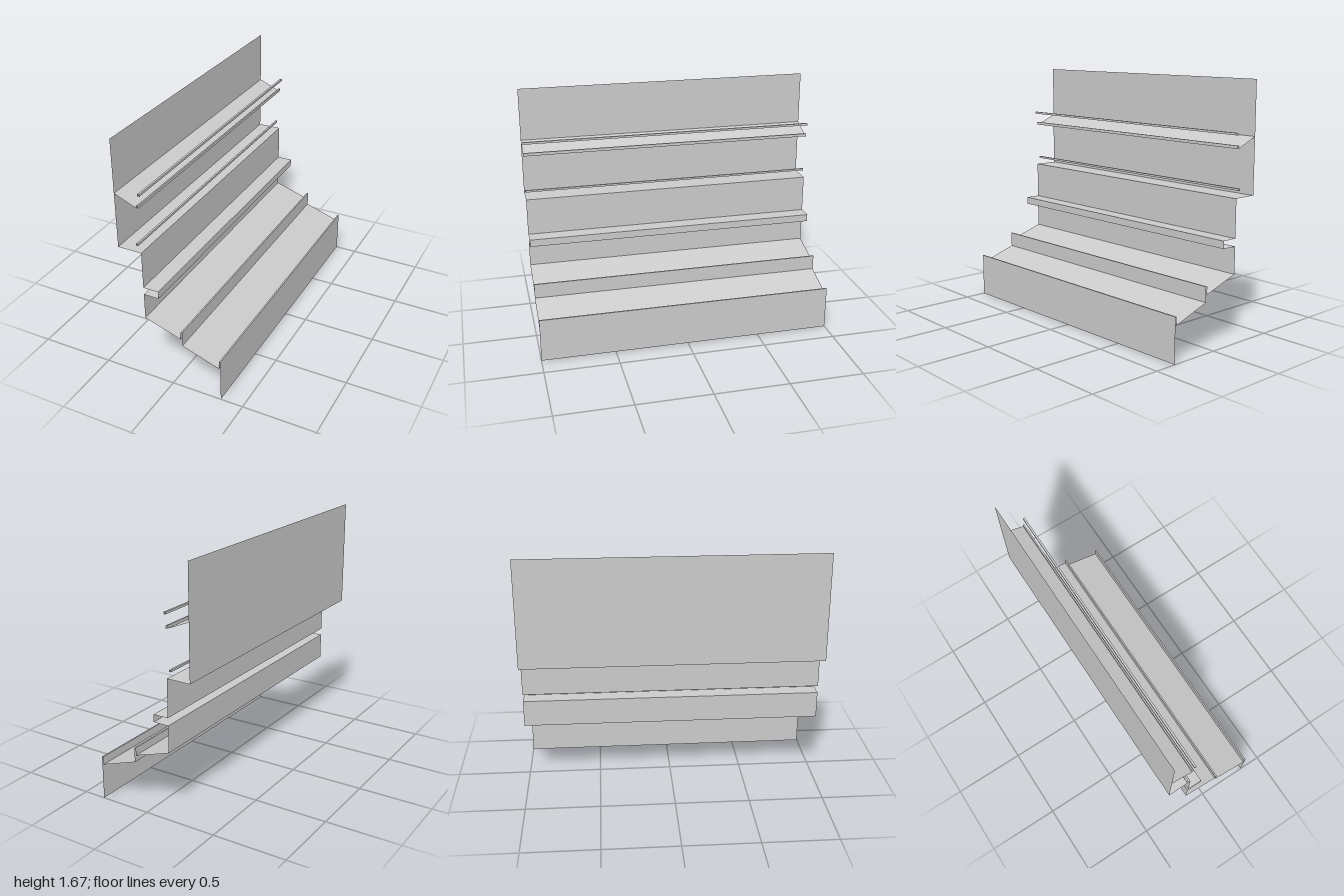
import * as THREE from 'three';

const material = new THREE.MeshStandardMaterial({ color: 0xcccccc, side: THREE.DoubleSide, flatShading: true });

// Sweeps an open (x, y) profile along z as a thin sheet without end caps
function sheet(name, profile) {
  const positions = [];
  for (let i = 0; i < profile.length - 1; i++) {
    const [x0, y0] = profile[i], [x1, y1] = profile[i + 1];
    positions.push(x0, y0, 1, x1, y1, -1, x0, y0, -1);
    positions.push(x0, y0, 1, x1, y1, 1, x1, y1, -1);
  }
  const geometry = new THREE.BufferGeometry();
  geometry.setAttribute('position', new THREE.Float32BufferAttribute(positions, 3));
  geometry.computeVertexNormals();
  const mesh = new THREE.Mesh(geometry, material);
  mesh.name = name;
  return mesh;
}

// Thin square rail running the full length, open at both ends
function rail(name, x, y, size) {
  const h = size / 2;
  return sheet(name, [[x - h, y - h], [x + h, y - h], [x + h, y + h], [x - h, y + h], [x - h, y - h]]);
}

export function createModel() {
  const group = new THREE.Group();
  group.name = 'steppedWall';
  group.add(
    // Tall back wall and the step at its foot
    sheet('backWall', [[-0.347, 1.67], [-0.347, 0.942], [-0.183, 0.942]]),
    // Sloping shelf with a small upright lip
    sheet('upperShelf', [[-0.347, 1.315], [-0.195, 1.252], [-0.195, 1.27], [-0.185, 1.27], [-0.185, 1.25]]),
    rail('upperRail', -0.178, 1.342, 0.014),
    rail('lowerRail', -0.208, 0.995, 0.013),
    // Middle wall folding out into a box ledge, open at the back
    sheet('middleWall', [[-0.183, 0.942], [-0.183, 0.69]]),
    sheet('boxLedge', [[-0.183, 0.69], [-0.077, 0.69], [-0.077, 0.64], [-0.183, 0.64]]),
    sheet('lowerWall', [[-0.183, 0.64], [-0.183, 0.46]]),
    // Two sloping terraces, each ending in a raised edge
    sheet('upperTerrace', [[-0.183, 0.46], [0.07, 0.378], [0.07, 0.43], [0.08, 0.43], [0.08, 0.33]]),
    sheet('lowerTerrace', [[0.08, 0.33], [0.337, 0.243], [0.337, 0.297], [0.347, 0.297]]),
    sheet('frontPanel', [[0.347, 0.297], [0.347, 0]])
  );
  return group;
}
